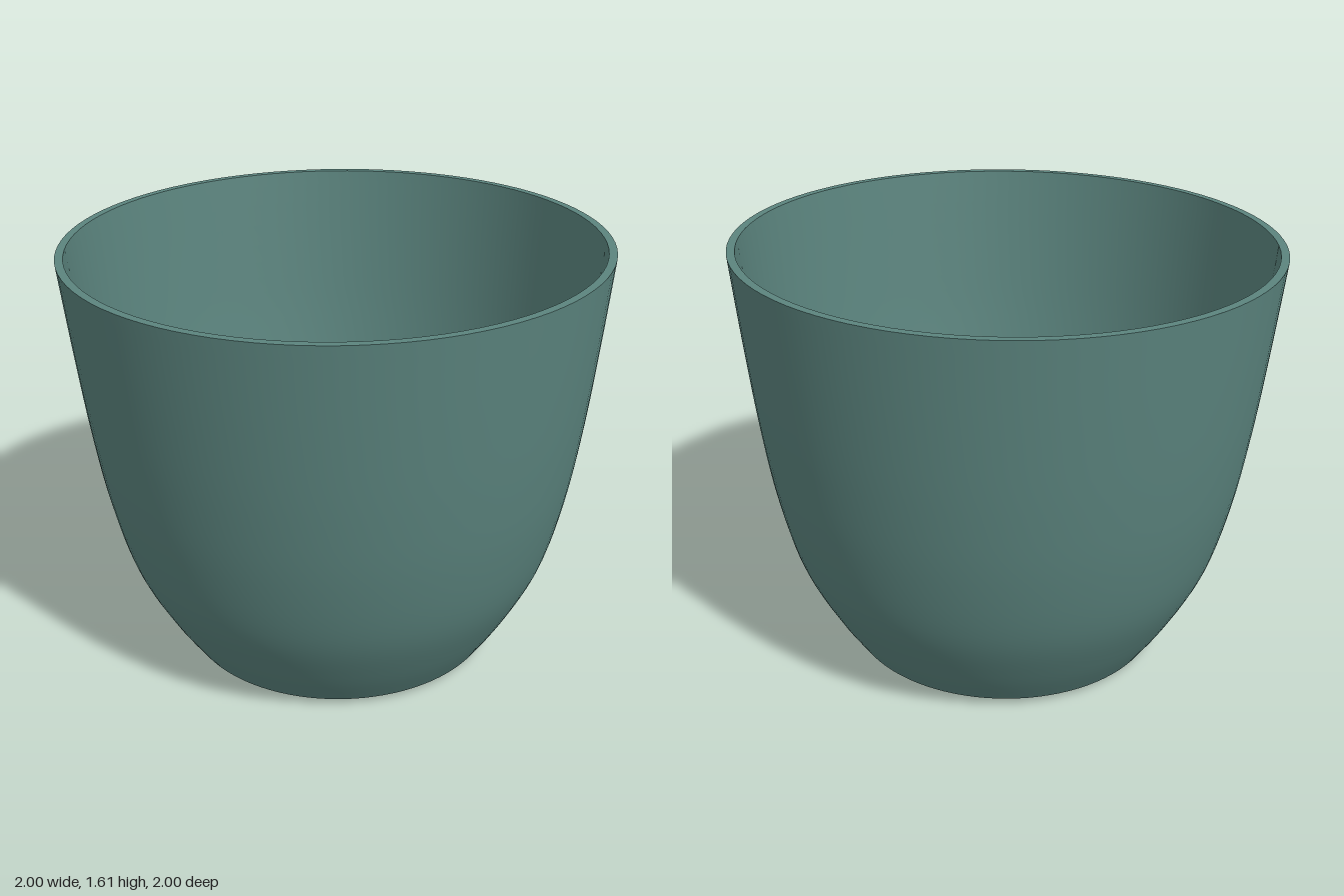
import * as THREE from 'three';
import { toCreasedNormals } from 'three/addons/utils/BufferGeometryUtils.js';

const SEGMENTS = 96;
const BASE_Y = 0.027; // underside of the floor
const FLOOR = 0.03; // floor thickness
const WALL = 0.03; // wall thickness

const polar = (radius, angle) => [radius * Math.cos(angle), radius * Math.sin(angle)];
const points = (list) => list.map(([x, y]) => new THREE.Vector2(x, y));

function lathe(profile) {
  return toCreasedNormals(new THREE.LatheGeometry(profile, SEGMENTS), 0.5);
}

export function createModel() {
  const material = new THREE.MeshStandardMaterial({ color: 0x5b847e });
  material.name = 'muted teal';

  const pot = new THREE.Group();
  pot.name = 'plantPot';
  const add = (name, geometry) => {
    const mesh = new THREE.Mesh(geometry, material);
    mesh.name = name;
    pot.add(mesh);
    return mesh;
  };

  // Curved wall: up the outside, over the flat rim and down the inside
  const outside = new THREE.SplineCurve(points([
    [0.61, BASE_Y], [0.71, 0.185], [0.815, 0.4], [0.885, 0.67],
    [0.93, 0.95], [0.965, 1.25], [1.0, 1.597],
  ])).getPoints(28);
  const inside = new THREE.SplineCurve(points([
    [1.0 - WALL, 1.597], [0.935, 1.25], [0.9, 0.95], [0.855, 0.67],
    [0.783, 0.4], [0.68, 0.185], [0.6, BASE_Y + FLOOR],
  ])).getPoints(28);
  add('wall', lathe([...outside, ...inside]));

  // Flat outer floor ring with five drainage holes
  const shape = new THREE.Shape().absarc(0, 0, 0.609, 0, Math.PI * 2);
  const cut = (x, y, radius) =>
    shape.holes.push(new THREE.Path().absarc(x, y, radius, 0, Math.PI * 2, true));
  cut(0, 0, 0.39);

  const firstHole = THREE.MathUtils.degToRad(23.4);
  const step = (Math.PI * 2) / 5;
  for (let i = 0; i < 5; i++) {
    const [x, z] = polar(0.495, firstHole + i * step);
    cut(x, -z, 0.034);
  }
  const floor = new THREE.ExtrudeGeometry(shape, {
    depth: FLOOR, bevelEnabled: false, curveSegments: 32,
  });
  floor.rotateX(-Math.PI / 2);
  floor.translate(0, BASE_Y, 0);
  add('floorRing', floor);

  // Raised centre of the floor, hollow underneath
  const rise = 0.06;
  add('raisedCentre', lathe(points([
    [0, BASE_Y + rise], [0.32, BASE_Y + rise], [0.345, BASE_Y + rise - 0.012],
    [0.39, BASE_Y], [0.392, BASE_Y + FLOOR],
    [0.365, BASE_Y + FLOOR + rise - 0.012], [0.335, BASE_Y + FLOOR + rise],
    [0, BASE_Y + FLOOR + rise],
  ])));

  // Small rounded feet between the holes
  for (let i = 0; i < 5; i++) {
    const [x, z] = polar(0.51, firstHole + (i + 0.5) * step);
    const foot = add('foot', new THREE.SphereGeometry(0.035, 16, 10));
    foot.scale.y = 0.58;
    foot.position.set(x, BASE_Y, z);
  }

  // The pot leans very slightly to one side
  pot.rotation.z = 0.0125;
  pot.position.x = 0.018;

  const model = new THREE.Group();
  model.name = 'model';
  model.add(pot);
  return model;
}
